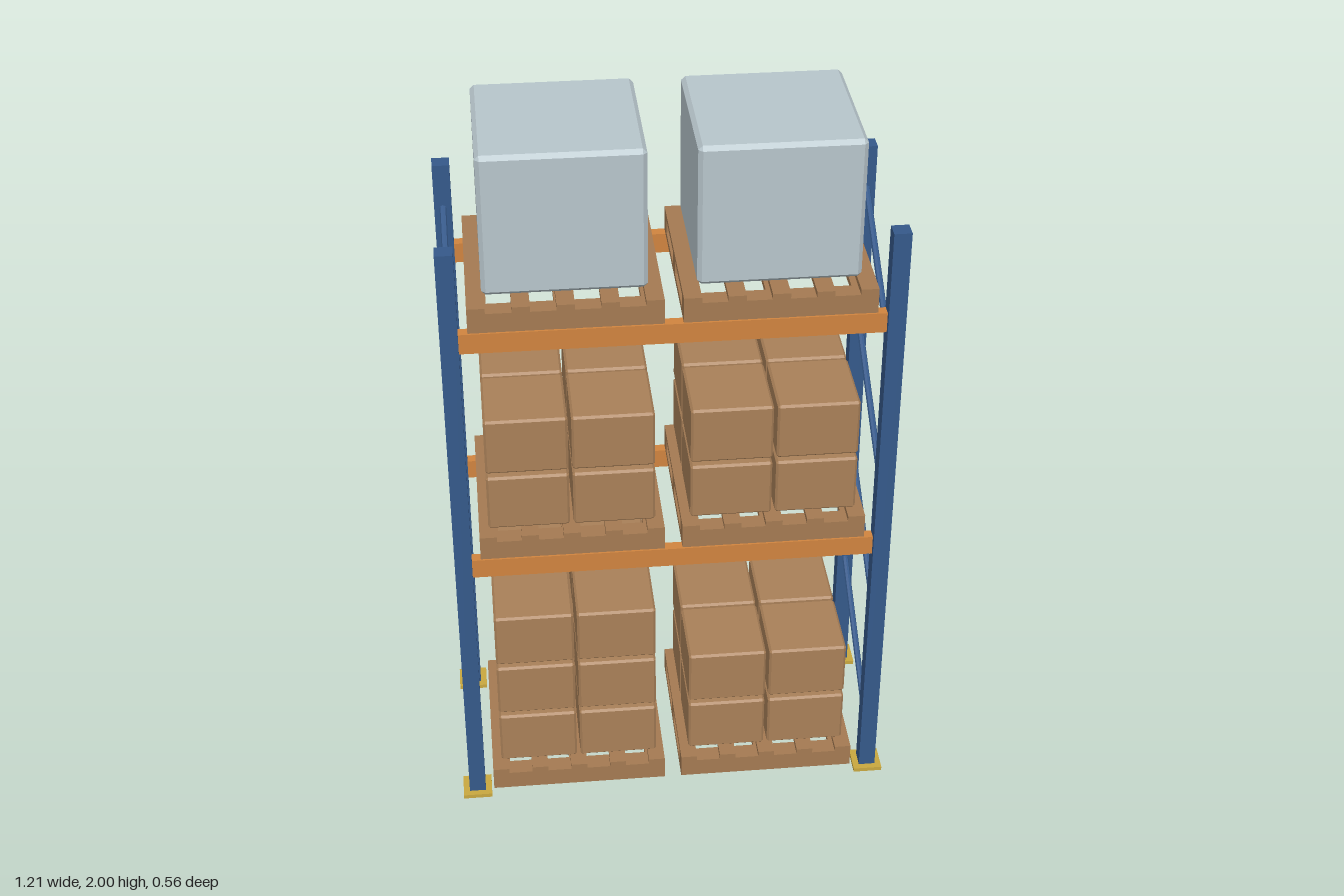
import * as THREE from 'three';
import { ConvexGeometry } from 'three/addons/geometries/ConvexGeometry.js';

const mat = (name, color) => {
  const m = new THREE.MeshStandardMaterial({ color });
  m.name = name;
  return m;
};

// Box with flat chamfered edges, centred on its origin
function chamferBox(w, h, d, c) {
  const points = [];
  for (const sx of [-1, 1]) for (const sy of [-1, 1]) for (const sz of [-1, 1]) {
    const x = w / 2, y = h / 2, z = d / 2;
    points.push(
      new THREE.Vector3(sx * x, sy * (y - c), sz * (z - c)),
      new THREE.Vector3(sx * (x - c), sy * y, sz * (z - c)),
      new THREE.Vector3(sx * (x - c), sy * (y - c), sz * z));
  }
  return new ConvexGeometry(points);
}

export function createModel() {
  const root = new THREE.Group();
  root.name = 'palletRack';
  const blue = mat('uprightBlue', 0x35598a);
  const orange = mat('beamOrange', 0xd0843f);
  const wood = mat('palletWood', 0xa47a52);
  const card = mat('cardboard', 0xa98058);
  const yellow = mat('footYellow', 0xc9a83f);
  const wrap = mat('wrapGrey', 0xb7c5cb);

  const add = (parent, name, geometry, material, x, y, z) => {
    const mesh = new THREE.Mesh(geometry, material);
    mesh.name = name;
    mesh.position.set(x, y, z);
    parent.add(mesh);
    return mesh;
  };
  const box = (parent, name, material, w, h, d, x, y, z) =>
    add(parent, name, new THREE.BoxGeometry(w, h, d), material, x, y, z);

  const postX = 0.565, postZ = 0.24, beamTops = [0.828, 1.533];

  // Uprights, foot plates and diagonal braces
  for (const sx of [-1, 1]) {
    const frame = new THREE.Group();
    frame.name = sx > 0 ? 'leftFrame' : 'rightFrame';
    root.add(frame);
    for (const sz of [-1, 1]) {
      box(frame, 'upright', blue, 0.046, 1.767, 0.046, sx * postX, 0.8835, sz * postZ);
      box(frame, 'footPlate', yellow, 0.081, 0.012, 0.081, sx * postX, 0.007, sz * postZ);
    }
    const rise = 0.3, run = 2 * postZ;
    for (let i = 0; i < 4; i++) {
      const geometry = new THREE.CylinderGeometry(0.009, 0.009, Math.hypot(rise, run), 8).toNonIndexed();
      geometry.computeVertexNormals();
      const brace = add(frame, 'brace', geometry, blue, sx * postX, 0.265 + i * 0.4135, 0);
      brace.rotation.x = -Math.atan2(run, rise);
    }
  }

  // Load beams
  for (const top of beamTops) for (const sz of [-1, 1])
    box(root, 'loadBeam', orange, 1.084, 0.056, 0.03, 0, top - 0.028, sz * 0.234);

  // Pallet: stringers along x, deck and bottom boards along z
  function addPallet(x, y) {
    const pallet = new THREE.Group();
    pallet.name = 'pallet';
    pallet.position.set(x, y, 0);
    root.add(pallet);
    for (const z of [-0.22, 0, 0.22])
      box(pallet, 'stringer', wood, 0.494, 0.054, 0.05, 0, 0.028, z);
    for (let i = -2; i <= 2; i++)
      box(pallet, 'deckBoard', wood, 0.046, 0.015, 0.49, i * 0.112, 0.0625, 0);
    for (let i = -1; i <= 1; i++)
      box(pallet, 'bottomBoard', wood, 0.05, 0.017, 0.488, i * 0.222, 0.0085, 0);
  }

  // Cartons stacked two by two
  const cartonGeometry = chamferBox(0.218, 0.163, 0.218, 0.006);
  function addCartons(x, y, rows) {
    const stack = new THREE.Group();
    stack.name = 'cartonStack';
    stack.position.set(x, y, 0);
    root.add(stack);
    for (let r = 0; r < rows; r++) for (const sx of [-1, 1]) for (const sz of [-1, 1])
      add(stack, 'carton', cartonGeometry, card, sx * 0.114, 0.0815 + r * 0.1765, sz * 0.114);
  }

  // Loads on the floor and both levels
  const crateGeometry = chamferBox(0.417, 0.383, 0.42, 0.011);
  for (const sx of [-1, 1]) {
    for (const y of [0, ...beamTops]) addPallet(sx * 0.271, y);
    addCartons(sx * 0.27, 0.086, sx < 0 ? 3 : 2);
    addCartons(sx * 0.27, 0.911, 2);
    add(root, 'wrappedLoad', crateGeometry, wrap, sx * 0.27, 1.8085, 0);
  }
  return root;
}
